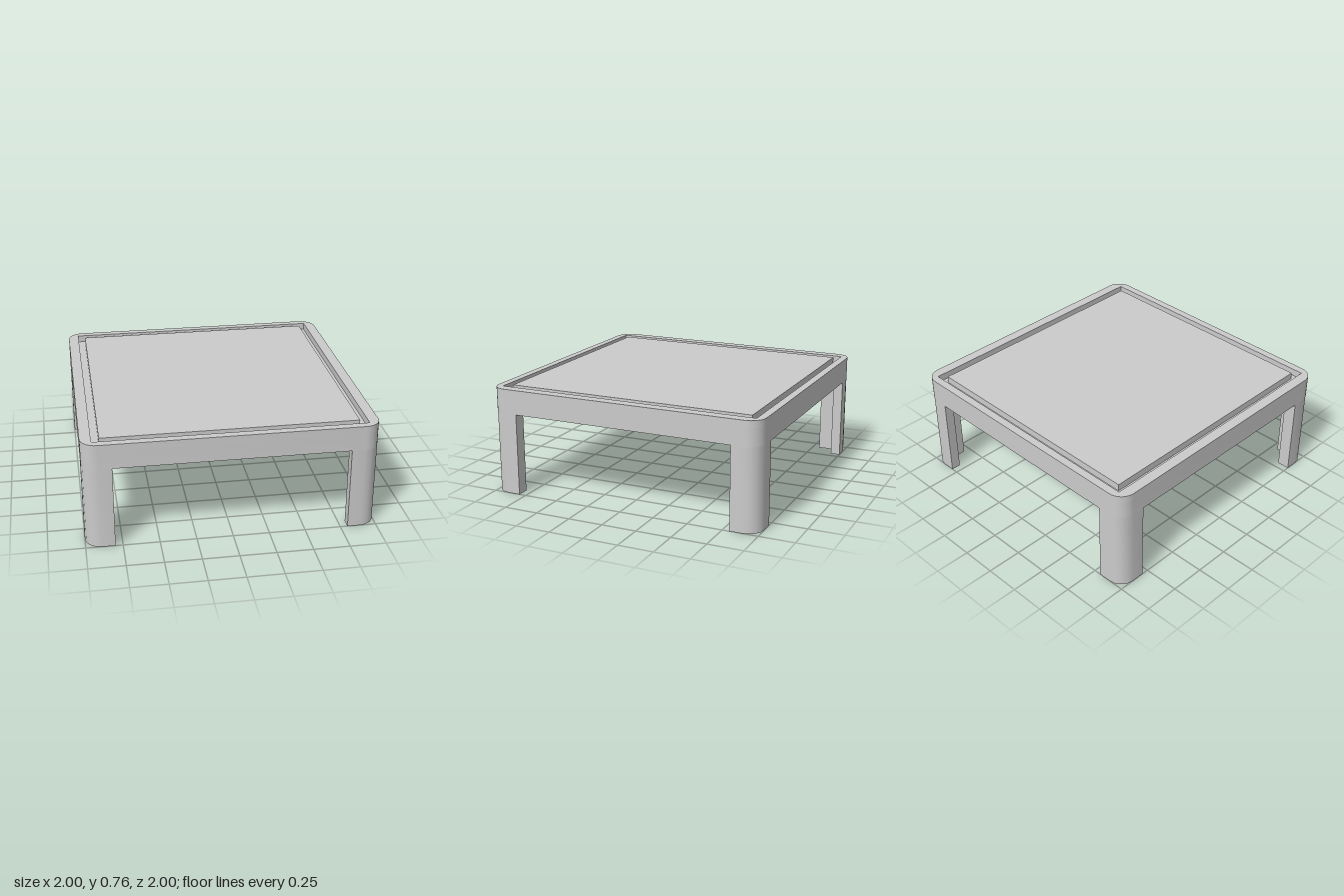
import * as THREE from 'three';
import { toCreasedNormals } from 'three/addons/utils/BufferGeometryUtils.js';

const HEIGHT = 0.76, UNDERSIDE = 0.585, GROOVE_FLOOR = 0.71;
const RADIUS = 0.11, LEG = 0.8;
const material = new THREE.MeshStandardMaterial({ color: 0xcccccc });

// Upright prism from a plan outline, between two heights
function prism(name, shape, bottom, top) {
  const geometry = new THREE.ExtrudeGeometry(shape, {
    depth: top - bottom, bevelEnabled: false, curveSegments: 4,
  });
  geometry.rotateX(-Math.PI / 2).translate(0, bottom, 0);
  const mesh = new THREE.Mesh(toCreasedNormals(geometry, 0.6), material);
  mesh.name = name;
  return mesh;
}

function rectangle(path, x, z) {
  path.moveTo(-x, -z);
  path.lineTo(x, -z);
  path.lineTo(x, z);
  path.lineTo(-x, z);
  path.closePath();
  return path;
}

// Square outline with rounded corners
function roundedSquare() {
  const s = new THREE.Shape(), c = 1 - RADIUS;
  s.moveTo(c, -1);
  s.absarc(c, -c, RADIUS, -Math.PI / 2, 0);
  s.absarc(c, c, RADIUS, 0, Math.PI / 2);
  s.absarc(-c, c, RADIUS, Math.PI / 2, Math.PI);
  s.absarc(-c, -c, RADIUS, Math.PI, Math.PI * 1.5);
  s.closePath();
  return s;
}

// L-shaped leg section with a rounded outer corner
function legSection(sx, sz) {
  const innerX = 0.91, innerZ = 0.93;
  const points = [[LEG, innerZ], [innerX, innerZ], [innerX, LEG], [1, LEG]];
  for (let i = 0; i <= 4; i++) {
    const a = (i / 4) * Math.PI / 2;
    points.push([1 - RADIUS + RADIUS * Math.cos(a), 1 - RADIUS + RADIUS * Math.sin(a)]);
  }
  points.push([LEG, 1]);
  return new THREE.Shape(points.map(([x, z]) => new THREE.Vector2(x * sx, z * sz)));
}

export function createModel() {
  const table = new THREE.Group();
  table.name = 'lowTable';

  // Solid top with a rim, and a flush panel set inside a narrow groove
  table.add(prism('topSlab', roundedSquare(), UNDERSIDE, GROOVE_FLOOR));
  const rim = roundedSquare();
  rim.holes.push(rectangle(new THREE.Path(), 0.925, 0.945));
  table.add(prism('rim', rim, GROOVE_FLOOR, HEIGHT));
  table.add(prism('topPanel', rectangle(new THREE.Shape(), 0.873, 0.897), GROOVE_FLOOR, HEIGHT));

  // Four mirrored corner legs
  for (const sx of [-1, 1]) {
    for (const sz of [-1, 1]) {
      const name = (sz < 0 ? 'front' : 'back') + (sx > 0 ? 'Left' : 'Right') + 'Leg';
      table.add(prism(name, legSection(sx, sz), 0, UNDERSIDE));
    }
  }
  return table;
}
